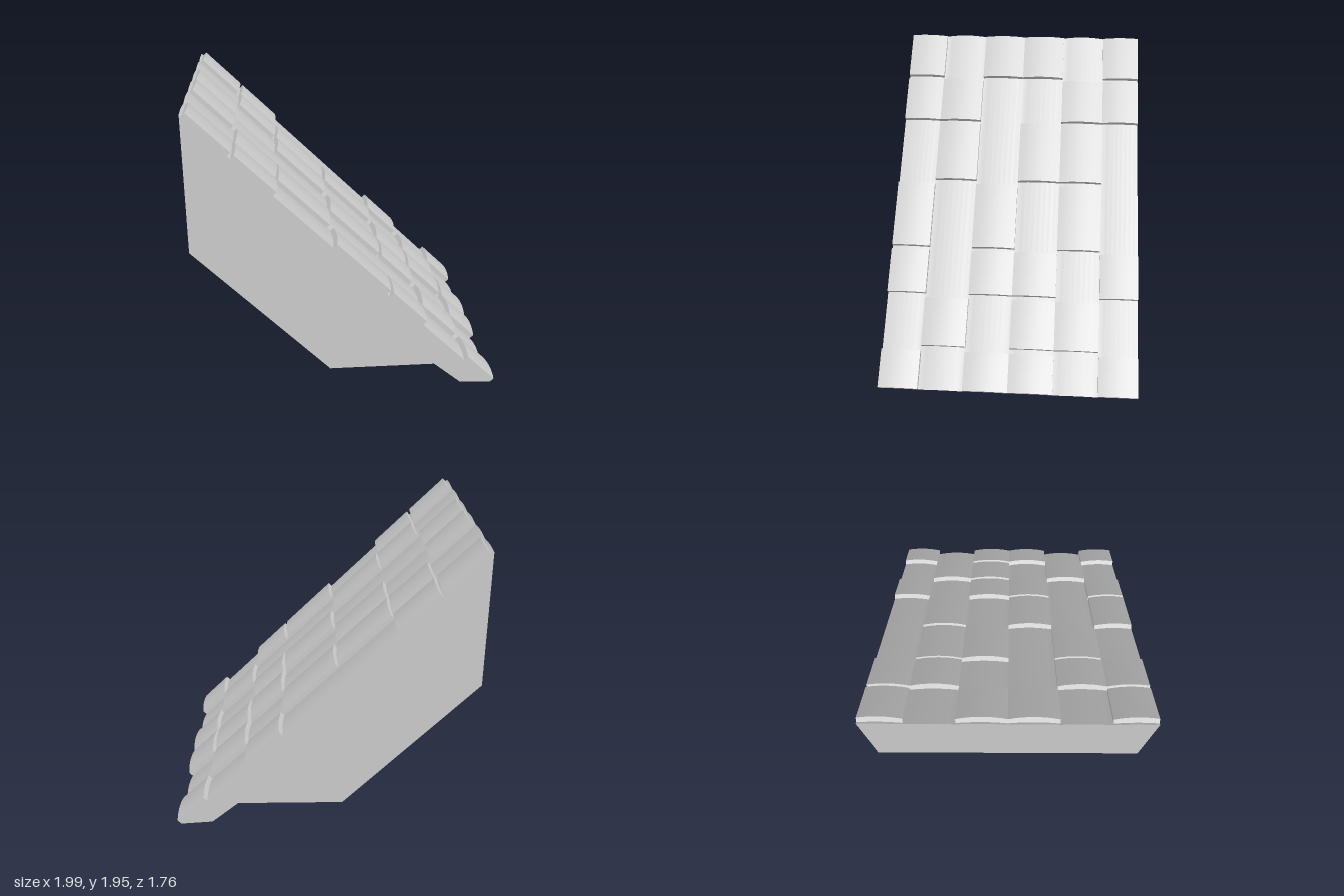
import * as THREE from 'three';
import { toCreasedNormals } from 'three/addons/utils/BufferGeometryUtils.js';

const HALF = 0.88;      // half width of the roof along z
const COLUMN = 0.305;   // width of one tile column
const RISE = 0.016;     // height of each column's arch
const LIFT = 0.036;     // thickness of a raised tile

// Slope line along the crests, and its upward normal
const top = new THREE.Vector2(-1, 1.937);
const foot = new THREE.Vector2(0.968, 0.012);
const dir = foot.clone().sub(top).normalize();
const normal = new THREE.Vector2(-dir.y, dir.x);

// Point at a given x on the slope, raised by h along the normal
function onSlope(x, h = 0) {
  const t = (x - top.x) / (foot.x - top.x);
  return top.clone().lerp(foot, t).addScaledVector(normal, h);
}

// Column edges along z; the outer columns are cut short
const edges = [3, 2, 1, 0, -1, -2, -3].map((i) => THREE.MathUtils.clamp(i * COLUMN, -HALF, HALF));

function columnSamples(c, n = 8) {
  return Array.from({ length: n + 1 }, (_, i) => THREE.MathUtils.lerp(edges[c + 1], edges[c], i / n));
}

// Arched cross-section, zero at the crest of each column
function wave(z) {
  const a = Math.abs(z);
  const centre = (Math.min(2, Math.floor(a / COLUMN + 1e-6)) + 0.5) * COLUMN;
  return -RISE * ((a - centre) / (COLUMN / 2)) ** 2;
}

// Extrude a side profile through the z samples, bending everything near the slope
function wavyExtrude(points, zs) {
  const geo = new THREE.ExtrudeGeometry(new THREE.Shape(points), {
    depth: zs.length - 1, steps: zs.length - 1, bevelEnabled: false,
  });
  const pos = geo.attributes.position;
  const p = new THREE.Vector2();
  for (let i = 0; i < pos.count; i++) {
    p.set(pos.getX(i), pos.getY(i));
    const z = zs[Math.round(pos.getZ(i))];
    if (p.clone().sub(top).dot(normal) > -0.06) p.addScaledVector(normal, wave(z));
    pos.setXYZ(i, Math.max(p.x, -1), Math.max(p.y, 0), z);
  }
  return toCreasedNormals(geo, 0.5);
}

export function createModel() {
  const group = new THREE.Group();
  const material = new THREE.MeshStandardMaterial({ color: 0xcccccc });

  // Solid roof body with a wavy upper surface
  const profile = [
    top, new THREE.Vector2(-1, 1.05), new THREE.Vector2(-0.13, 0.17),
    new THREE.Vector2(0.57, 0.17), new THREE.Vector2(0.75, 0.02), foot,
  ];
  const allSamples = [];
  for (let c = 5; c >= 0; c--) allSamples.push(...columnSamples(c).slice(c === 5 ? 0 : 1));
  const body = new THREE.Mesh(wavyExtrude(profile, allSamples), material);
  body.name = 'roofBody';
  group.add(body);

  // Raised tiles: each row has its x range and the columns it fills, from +z to -z
  const rows = [
    [-0.985, -0.735, [0, 2, 3, 5]],
    [-0.715, -0.47, [0, 1, 4, 5]],
    [-0.455, -0.125, [1, 3, 4]],
    [-0.1, 0.245, [0, 2, 4]],
    [0.265, 0.49, [0, 2, 3, 5]],
    [0.515, 0.755, [1, 3, 4]],
    [0.78, 0.968, [0, 2, 3, 5]],
  ];
  const tiles = new THREE.Group();
  tiles.name = 'roofTiles';
  rows.forEach(([x0, x1, columns], r) => {
    const section = [onSlope(x0), onSlope(x1), onSlope(x1, LIFT), onSlope(x0, LIFT)];
    for (const c of columns) {
      const tile = new THREE.Mesh(wavyExtrude(section, columnSamples(c)), material);
      tile.name = `tileRow${r + 1}Column${c + 1}`;
      tiles.add(tile);
    }
  });
  group.add(tiles);
  return group;
}
